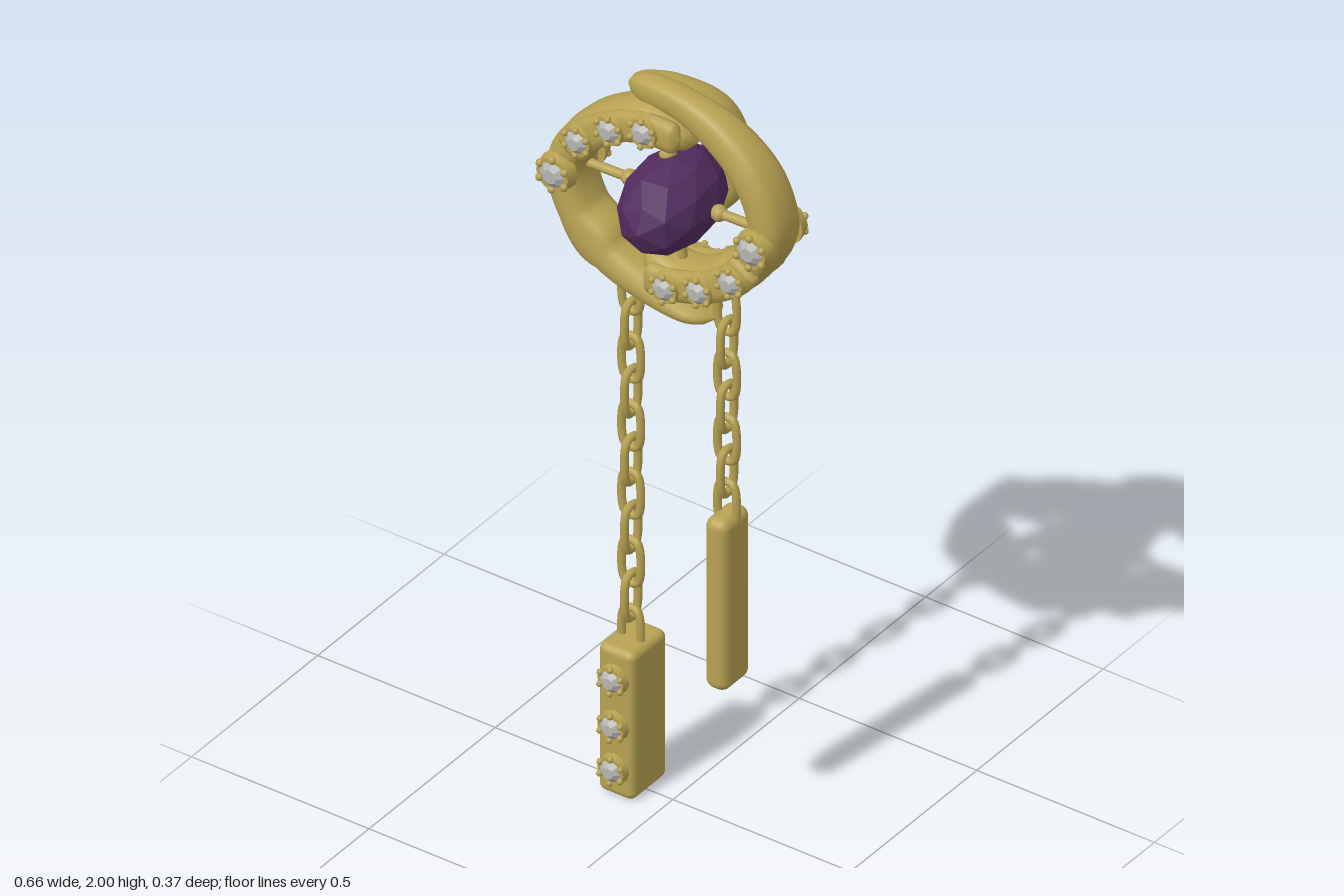
import * as THREE from 'three';
import { RoundedBoxGeometry } from 'three/addons/geometries/RoundedBoxGeometry.js';

const material = (name, color) => Object.assign(new THREE.MeshStandardMaterial({ color }), { name });
const V = (x, y, z = 0) => new THREE.Vector3(x, y, z);

// Loft an oval section along rows of [x, y, z, halfWidth, halfDepth], with rounded ends
function sweep(rows, segments = 72, sides = 16, power = 0.75) {
  const path = new THREE.CatmullRomCurve3(rows.map(r => V(r[0], r[1], r[2])));
  const size = new THREE.CatmullRomCurve3(rows.map(r => V(r[3], r[4])));
  const pos = [], index = [];
  const soft = v => Math.sign(v) * Math.abs(v) ** power;
  for (let i = 0; i <= segments; i++) {
    const t = i / segments, p = path.getPoint(t), s = size.getPoint(t);
    const T = path.getTangent(t);
    const B = V(0, 0, 1).addScaledVector(T, -T.z).normalize();
    const N = B.clone().cross(T);
    const e = Math.min(1, Math.min(t, 1 - t) / 0.06);
    const k = Math.max(0.002, Math.sqrt(1 - (1 - e) ** 2));
    for (let j = 0; j < sides; j++) {
      const a = j / sides * Math.PI * 2;
      const v = p.clone().addScaledVector(N, soft(Math.cos(a)) * s.x * k)
        .addScaledVector(B, soft(Math.sin(a)) * s.y * k);
      pos.push(v.x, v.y, v.z);
      if (i < segments) {
        const q = i * sides + j, r = i * sides + (j + 1) % sides;
        index.push(q, r, q + sides, r, r + sides, q + sides);
      }
    }
  }
  const g = new THREE.BufferGeometry();
  g.setAttribute('position', new THREE.Float32BufferAttribute(pos, 3));
  g.setIndex(index);
  g.computeVertexNormals();
  return g;
}

export function createModel() {
  const gold = material('gold', 0xb8a252);
  const purple = material('purple gem', 0x512c5e);
  const grey = material('clear gem', 0xb4b4b0);
  purple.flatShading = true;
  grey.flatShading = true;

  const model = new THREE.Group();
  model.name = 'earring';
  const add = (parent, name, geometry, mat, x = 0, y = 0, z = 0) => {
    const m = new THREE.Mesh(geometry, mat);
    m.name = name;
    m.position.set(x, y, z);
    parent.add(m);
    return m;
  };

  // Two interlocking crescents, one the half turn of the other
  const crescent = [
    [0.07, 1.86, 0, 0.035, 0.05], [-0.04, 1.895, 0, 0.045, 0.06], [-0.15, 1.85, 0, 0.047, 0.06],
    [-0.24, 1.77, 0, 0.047, 0.065], [-0.284, 1.68, 0, 0.047, 0.066], [-0.25, 1.56, 0, 0.048, 0.066],
    [-0.16, 1.474, 0, 0.048, 0.066], [-0.03, 1.424, 0, 0.038, 0.066], [0.13, 1.398, 0, 0.018, 0.066],
  ];
  const depths = [0.05, 0.06, 0.06, 0.06, 0.065, 0.062, 0.05, 0.036, 0.032];
  const turned = crescent.map(([x, y, z, a], i) => [-x, 3.38 - y, z, a, depths[i]]);
  turned[8] = [-0.13, 1.955, -0.01, 0.035, 0.032];
  add(model, 'leftCrescent', sweep(crescent), gold);
  add(model, 'rightCrescent', sweep(turned), gold);

  // Strand curling behind the centre gem
  add(model, 'backStrand', sweep([
    [-0.13, 1.95, -0.005, 0.03, 0.03], [-0.04, 1.935, -0.055, 0.035, 0.045],
    [0.045, 1.88, -0.11, 0.038, 0.045], [0.08, 1.78, -0.135, 0.036, 0.04],
    [0.065, 1.67, -0.147, 0.036, 0.036], [-0.01, 1.58, -0.135, 0.036, 0.038],
    [-0.085, 1.525, -0.09, 0.036, 0.04], [-0.13, 1.49, -0.03, 0.03, 0.03],
  ], 64, 16, 0.9), gold);

  // Centre gem
  const stone = add(model, 'centreGem', new THREE.IcosahedronGeometry(1, 1), purple, 0.008, 1.688, 0.012);
  stone.scale.set(0.113, 0.116, 0.174);
  stone.rotation.y = 0.12;

  // Spokes holding the centre gem
  const spoke = (from, to) => {
    const path = new THREE.LineCurve3(from, to);
    add(model, 'spoke', new THREE.TubeGeometry(path, 1, 0.012, 8), gold);
    const p = path.getPoint(0.8);
    add(model, 'spokeBead', new THREE.SphereGeometry(0.021, 10, 8), gold, p.x, p.y, p.z);
  };
  spoke(V(-0.25, 1.685), V(-0.09, 1.69));
  spoke(V(0.25, 1.695), V(0.1, 1.69));
  spoke(V(-0.03, 1.87), V(-0.01, 1.78));
  spoke(V(0.03, 1.51), V(0.02, 1.59));

  // Clear gem in a collar with six claws; facing is 1 for front, -1 for back
  const collar = new THREE.CylinderGeometry(0.04, 0.046, 0.03, 12).rotateX(Math.PI / 2);
  const brilliant = new THREE.CylinderGeometry(0.017, 0.034, 0.014, 8).rotateX(Math.PI / 2);
  const claw = new THREE.SphereGeometry(0.009, 7, 5);
  const stud = (x, y, z, facing = 1, size = 1) => {
    const g = new THREE.Group();
    g.name = 'gemStud';
    g.position.set(x, y, z * facing);
    if (facing < 0) g.rotation.y = Math.PI;
    g.scale.set(size, size, 1);
    add(g, 'collar', collar, gold);
    add(g, 'clearGem', brilliant, grey, 0, 0, 0.02);
    for (let i = 0; i < 6; i++) {
      const a = i * Math.PI / 3 + 0.5;
      add(g, 'claw', claw, gold, Math.cos(a) * 0.036, Math.sin(a) * 0.036, 0.016);
    }
    model.add(g);
  };

  // Gem rows on their raised beds
  const upper = [[-0.215, 1.795], [-0.125, 1.862], [-0.03, 1.893]];
  const lower = [[0.215, 1.573], [0.125, 1.512], [0.03, 1.483]];
  const row = (points, endX, facing) => {
    const side = Math.sign(points[0][0]);
    const bed = [[side * 0.25, points[0][1] - side * 0.05 * -1], ...points, [endX, points[2][1]]];
    add(model, 'gemBed', sweep(bed.map(([x, y]) => [x, y, 0.055 * facing, 0.042, 0.02]), 32, 10), gold);
    points.forEach(([x, y]) => stud(x, y, 0.068, facing, 0.95));
  };
  row(upper, 0.06, 1);
  row(lower, -0.04, 1);
  row(lower, -0.04, -1);
  for (const facing of [1, -1]) {
    stud(-0.28, 1.68, 0.07, facing, 1.12);
    stud(0.275, 1.685, 0.07, facing, 1.12);
  }

  // Chains of alternating links
  const w = 0.024, h = 0.058;
  const outline = new THREE.CatmullRomCurve3([
    V(w, h * 0.7), V(w * 0.6, h), V(-w * 0.6, h), V(-w, h * 0.7),
    V(-w, -h * 0.7), V(-w * 0.6, -h), V(w * 0.6, -h), V(w, -h * 0.7),
  ], true);
  const link = new THREE.TubeGeometry(outline, 28, 0.0105, 7, true);
  const chain = (x, top, bottom, count) => {
    for (let i = 0; i < count; i++) {
      const y = top + (bottom - top) * i / (count - 1);
      const m = add(model, 'chainLink', link, gold, x, y, 0);
      if (i % 2) m.rotation.y = Math.PI / 2;
    }
  };
  chain(-0.117, 1.38, 0.43, 11);
  chain(0.153, 1.43, 0.89, 7);

  // Hanging bars
  add(model, 'plainBar', new RoundedBoxGeometry(0.064, 0.475, 0.11, 4, 0.026), gold, 0.153, 0.63, 0);
  add(model, 'gemBar', new RoundedBoxGeometry(0.102, 0.41, 0.142, 4, 0.02), gold, -0.116, 0.205, -0.003);
  for (const y of [0.33, 0.2, 0.08]) stud(-0.116, y, 0.07, 1, 0.92);

  return model;
}
